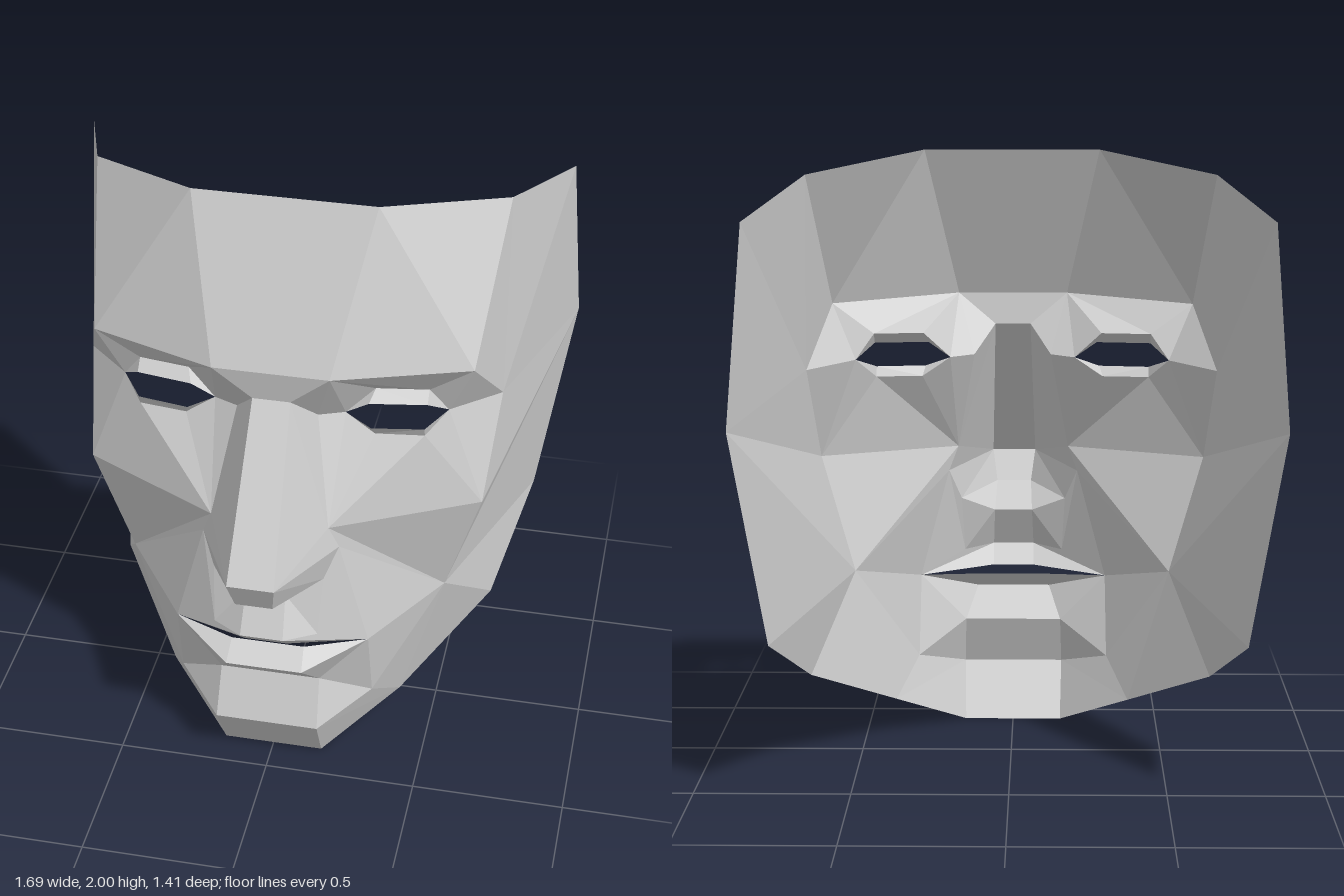
import * as THREE from 'three';

// Landmarks of the +x half of the mask: [x, y, z]
const rim = {
  T0: [0.29, 2.0, 0.18], T1: [0.66, 1.93, -0.09], T2: [0.81, 1.81, -0.56],
  S0: [0.845, 1.19, -0.705], S1: [0.74, 0.51, -0.615], S2: [0.65, 0.31, -0.205],
  S3: [0.395, 0.13, 0.16], C: [0.165, 0, 0.38],
};
const browAndCheek = {
  B0: [0.185, 1.505, 0.395], B1: [0.605, 1.485, 0.22], E: [0.675, 1.285, 0.015],
  P0: [0.53, 0.585, 0.135], P1: [0.645, 0.97, 0.185],
};
// I, O: eye corners; a-d: lid bases; a2-d2: lid edges
const eye = {
  I: [0.21, 1.3, 0.25], O: [0.525, 1.3, 0.17],
  a: [0.3, 1.385, 0.225], b: [0.465, 1.385, 0.2], c: [0.46, 1.235, 0.235], d: [0.305, 1.235, 0.255],
  a2: [0.285, 1.35, 0.265], b2: [0.465, 1.35, 0.235], c2: [0.46, 1.268, 0.25], d2: [0.295, 1.268, 0.278],
};
const nose = {
  N0: [0.06, 1.4, 0.38], N1: [0.13, 1.305, 0.29],
  t: [0.075, 0.91, 0.705], k: [0.06, 0.805, 0.655], K: [0.065, 0.73, 0.485],
  A0: [0.19, 0.968, 0.42], A1: [0.222, 0.885, 0.4], A2: [0.18, 0.78, 0.44],
};
const mouthAndChin = {
  L0: [0.07, 0.597, 0.555], L1: [0.17, 0.588, 0.485], H: [0.07, 0.532, 0.487], M: [0.32, 0.515, 0.39],
  U: [0.12, 0.505, 0.46], D: [0.125, 0.45, 0.527],
  V: [0.165, 0.35, 0.425], W: [0.17, 0.185, 0.49], Q: [0.325, 0.245, 0.32],
};
const points = { ...rim, ...browAndCheek, ...eye, ...nose, ...mouthAndChin };

// Facets per part, counter-clockwise from outside. '~' takes the mirrored landmark;
// facets without it are also mirrored to the other half.
const parts = {
  forehead: ['T0 ~T0 ~B0 B0', 'T0 B0 B1', 'T0 B1 T1'],
  brow: ['~B0 ~N0 N0 B0', 'B0 N0 N1', 'B0 N1 I', 'B0 I a', 'B0 a b B1', 'B1 b O', 'B1 O E'],
  eyelids: ['a I a2', 'a a2 b2 b', 'b b2 O', 'I d d2', 'd c c2 d2', 'c O c2'],
  nose: ['~N0 ~t t N0', 'N0 A0 N1', 'N0 t A0', 't A1 A0', 't k A2 A1',
    '~t ~k k t', '~k ~K K k', 'k K A2'],
  cheeks: ['N1 A0 I', 'I A0 d', 'd A0 c', 'c A0 P1', 'c P1 O', 'O P1 E',
    'A0 P0 P1', 'A0 A1 P0', 'A1 M P0', 'A1 L1 M', 'A1 A2 L1'],
  upperLip: ['~K ~L0 L0 K', 'K L0 L1 A2', '~L0 ~H H L0', 'L0 H M L1'],
  lowerLip: ['~U ~D D U', 'U D M', '~D ~V V D', 'D V M'],
  chin: ['M V Q', '~V ~W W V', 'V W Q', '~W ~C C W', 'W C S3', 'W S3 Q'],
  jaw: ['M Q P0', 'Q S3 P0', 'P0 S3 S2', 'P0 S2 S1'],
  temples: ['P0 S1 S0', 'P1 P0 S0', 'E P1 S0', 'E S0 T2', 'E T2 T1', 'B1 E T1'],
};

const flip = ([x, y, z]) => [-x, y, z];
const locate = (key) => (key[0] === '~' ? flip(points[key.slice(1)]) : points[key]);

// Splits each facet into a fan of triangles
function buildFacets(facets) {
  const positions = [];
  const addFan = (corners) => {
    for (let i = 1; i < corners.length - 1; i++) {
      positions.push(...corners[0], ...corners[i], ...corners[i + 1]);
    }
  };
  for (const facet of facets) {
    const corners = facet.split(' ').map(locate);
    addFan(corners);
    if (!facet.includes('~')) {
      // keep the first corner first so both halves split along the same diagonal
      const [first, ...rest] = corners.map(flip);
      addFan([first, ...rest.reverse()]);
    }
  }
  const geometry = new THREE.BufferGeometry();
  geometry.setAttribute('position', new THREE.Float32BufferAttribute(positions, 3));
  geometry.computeVertexNormals();
  return geometry;
}

export function createModel() {
  const group = new THREE.Group();
  group.name = 'faceMask';
  const material = new THREE.MeshStandardMaterial({
    color: 0xcccccc, flatShading: true, side: THREE.DoubleSide,
  });
  for (const [name, facets] of Object.entries(parts)) {
    const mesh = new THREE.Mesh(buildFacets(facets), material);
    mesh.name = name;
    group.add(mesh);
  }
  return group;
}
